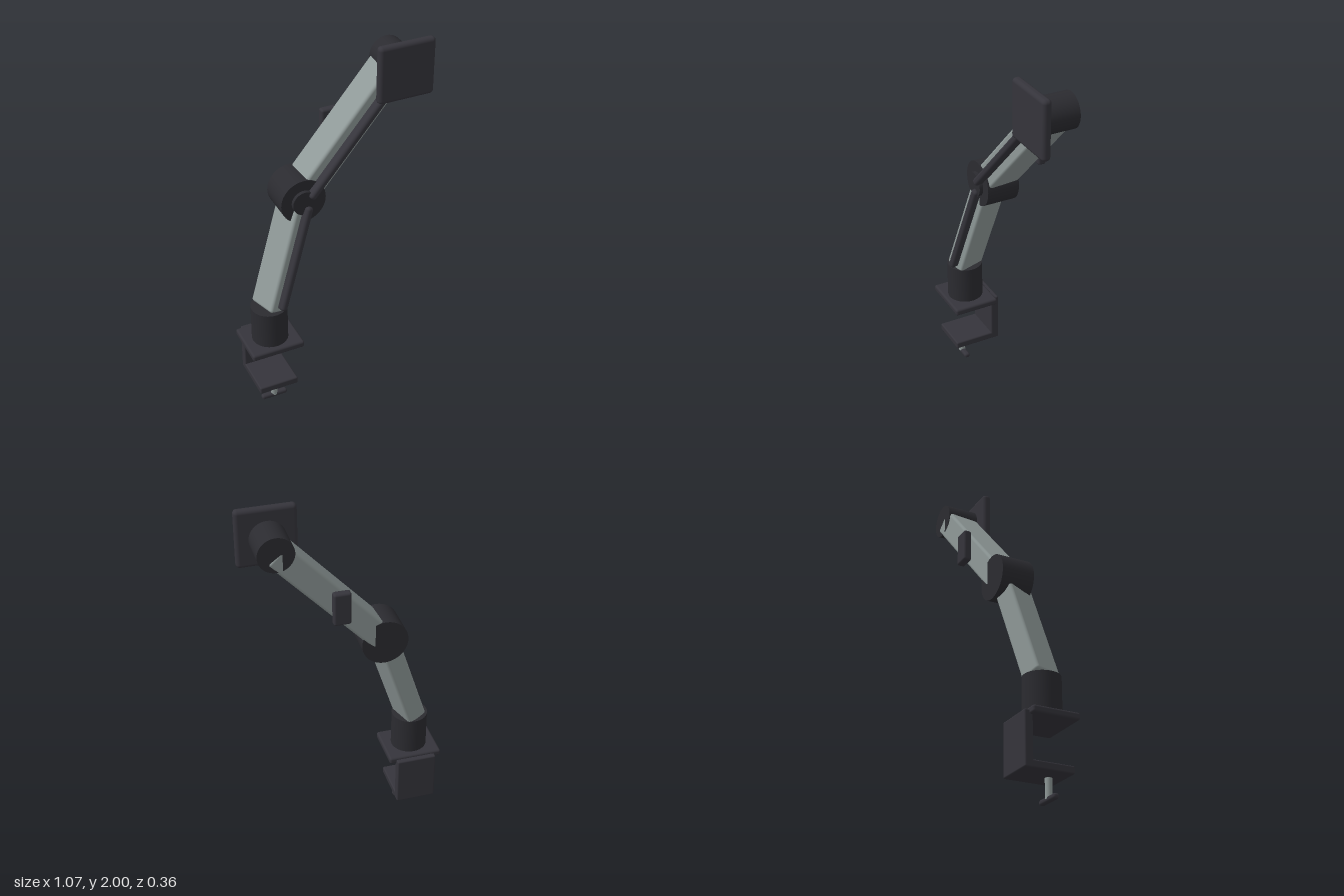
import * as THREE from 'three';
import { RoundedBoxGeometry } from 'three/addons/geometries/RoundedBoxGeometry.js';

export function createModel() {
  const model = new THREE.Group();
  model.name = 'monitorArm';

  const material = (name, color) => {
    const m = new THREE.MeshStandardMaterial({ color });
    m.name = name;
    return m;
  };
  const graphite = material('graphite', 0x35343b);
  const black = material('jointBlack', 0x2b2b30);
  const silver = material('silver', 0x8f9998);

  const add = (parent, name, geometry, mat, x, y, z) => {
    const mesh = new THREE.Mesh(geometry, mat);
    mesh.name = name;
    mesh.position.set(x, y, z);
    parent.add(mesh);
    return mesh;
  };
  const box = (parent, name, mat, [w, h, d], [x, y, z], radius = 0.012) =>
    add(parent, name, new RoundedBoxGeometry(w, h, d, 3, radius), mat, x, y, z);
  const cylinder = (parent, name, mat, radius, length, [x, y, z], alongZ = false) => {
    const geometry = new THREE.CylinderGeometry(radius, radius, length, 40);
    if (alongZ) geometry.rotateX(Math.PI / 2);
    return add(parent, name, geometry, mat, x, y, z);
  };

  // Desk clamp: mounting plate, C bracket and tightening screw
  const clamp = new THREE.Group();
  clamp.name = 'deskClamp';
  model.add(clamp);
  box(clamp, 'mountingPlate', graphite, [0.296, 0.038, 0.256], [-0.388, 0.395, 0.048]);
  box(clamp, 'clampBack', graphite, [0.22, 0.283, 0.046], [-0.388, 0.259, -0.083], 0.008);
  box(clamp, 'clampJaw', graphite, [0.22, 0.04, 0.266], [-0.388, 0.138, 0.027], 0.008);
  cylinder(clamp, 'clampScrew', silver, 0.018, 0.12, [-0.388, 0.075, 0.078]);
  box(clamp, 'screwHandle', graphite, [0.148, 0.028, 0.032], [-0.388, 0.014, 0.078], 0.012);

  // Swivel post
  cylinder(model, 'swivelPost', black, 0.098, 0.222, [-0.388, 0.513, 0.05]);

  // A straight arm between two joints, with a cable cover along its front
  const arm = (name, from, to, width, thickness, coverOut) => {
    const a = new THREE.Vector3(...from), b = new THREE.Vector3(...to);
    const length = a.distanceTo(b);
    const group = new THREE.Group();
    group.name = name;
    group.position.copy(a).lerp(b, 0.5);
    group.lookAt(b);
    model.add(group);
    box(group, name + 'Tube', silver, [width, thickness, length], [0, 0, 0], 0.016);
    box(group, name + 'CableCover', graphite, [0.06, 0.04, length * 0.92], [0.03 - coverOut, 0, 0], 0.016);
  };
  arm('lowerArm', [-0.388, 0.62, 0.05], [-0.184, 1.23, -0.016], 0.164, 0.116, 0.122);
  arm('upperArm', [-0.184, 1.23, -0.026], [0.374, 1.847, -0.066], 0.174, 0.138, 0.134);

  // Elbow joint with front cap
  cylinder(model, 'elbowJoint', black, 0.123, 0.18, [-0.184, 1.23, -0.027], true);
  cylinder(model, 'elbowCap', black, 0.066, 0.03, [-0.184, 1.23, 0.068], true);

  // Cable clip behind the upper arm
  box(model, 'cableClip', graphite, [0.091, 0.18, 0.044], [0.059, 1.51, -0.161]);

  // Tilting head and screen plate
  cylinder(model, 'headJoint', black, 0.093, 0.174, [0.374, 1.847, -0.064], true);
  cylinder(model, 'headSpindle', black, 0.04, 0.04, [0.374, 1.847, 0.03], true);
  box(model, 'screenPlate', graphite, [0.31, 0.31, 0.048], [0.375, 1.845, 0.059], 0.02);

  return model;
}
